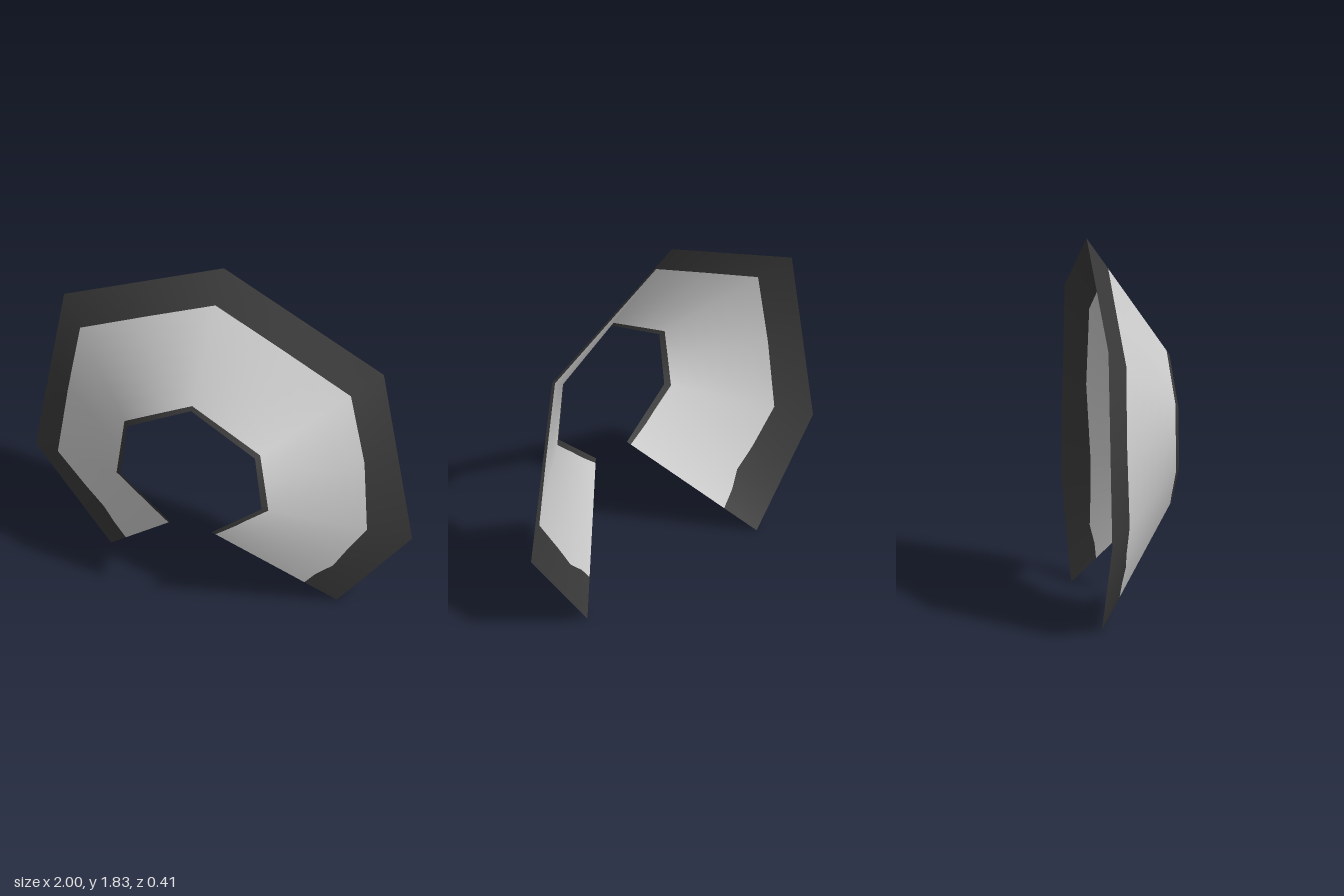
import * as THREE from 'three';

// Corner points of the flared collar, from the right-hand end over the top to the left-hand end
const outer = [[-0.6, 0], [-1, 0.485], [-0.85, 1.43], [0, 1.83], [0.85, 1.43], [1, 0.485], [0.6, 0]]
  .map(([x, y]) => new THREE.Vector3(x, y, -0.204));
const inner = [[-0.11, 0.54], [-0.375, 0.755], [-0.34, 1.05], [0, 1.24], [0.34, 1.05], [0.375, 0.755], [0.11, 0.54]]
  .map(([x, y]) => new THREE.Vector3(x, y, 0.204));

// Colour borders: [position along the corners, fraction from outer to inner edge]
const borders = [
  [0, 0.25, 0.97], [0.18, 0.26, 0.965], [0.36, 0.29, 0.96], [0.6, 0.27, 0.96], [1, 0.26, 0.955],
  [1.5, 0.245, 0.957], [2, 0.255, 0.96], [2.5, 0.255, 0.962], [3, 0.26, 0.965],
  [3.5, 0.255, 0.962], [4, 0.255, 0.96], [4.5, 0.24, 0.957], [5, 0.3, 0.955],
  [5.4, 0.26, 0.96], [5.64, 0.23, 0.96], [5.85, 0.26, 0.965], [6, 0.26, 0.97],
];

// Smooth normals at the corners, shared by all the colour bands
function cornerNormals() {
  const index = [];
  for (let i = 0; i < 6; i++) index.push(i, i + 7, i + 8, i, i + 8, i + 1);
  const g = new THREE.BufferGeometry().setFromPoints([...outer, ...inner]);
  g.setIndex(index);
  g.computeVertexNormals();
  const n = g.attributes.normal;
  return Array.from({ length: 14 }, (_, i) => new THREE.Vector3().fromBufferAttribute(n, i));
}

// Blend between the corners along the ring (s) and across it (t)
function blend(outs, ins, s, t) {
  const i = Math.min(5, Math.floor(s));
  const a = outs[i].clone().lerp(outs[i + 1], s - i);
  const b = ins[i].clone().lerp(ins[i + 1], s - i);
  return a.lerp(b, t);
}

// One colour band lying between two fractions of the collar's width
function band(name, material, normals, from, to) {
  const steps = 6, pos = [], nor = [], index = [];
  borders.forEach((row, r) => {
    for (let k = 0; k <= steps; k++) {
      const t = THREE.MathUtils.lerp(from(row), to(row), k / steps);
      pos.push(...blend(outer, inner, row[0], t).toArray());
      nor.push(...blend(normals.slice(0, 7), normals.slice(7), row[0], t).normalize().toArray());
      if (r < borders.length - 1 && k < steps) {
        const a = r * (steps + 1) + k, d = a + steps + 1;
        index.push(a, a + 1, d + 1, a, d + 1, d);
      }
    }
  });
  const g = new THREE.BufferGeometry();
  g.setAttribute('position', new THREE.Float32BufferAttribute(pos, 3));
  g.setAttribute('normal', new THREE.Float32BufferAttribute(nor, 3));
  g.setIndex(index);
  const mesh = new THREE.Mesh(g, material);
  mesh.name = name;
  return mesh;
}

export function createModel() {
  const light = new THREE.MeshStandardMaterial({ color: 0xd2d2d2, side: THREE.DoubleSide });
  light.name = 'light grey';
  const dark = new THREE.MeshStandardMaterial({ color: 0x3b3b3b, side: THREE.DoubleSide });
  dark.name = 'charcoal';

  const normals = cornerNormals();
  const group = new THREE.Group();
  group.name = 'flaredCollar';
  group.add(
    band('outerTrim', dark, normals, () => 0, (r) => r[1]),
    band('panel', light, normals, (r) => r[1], (r) => r[2]),
    band('innerTrim', dark, normals, (r) => r[2], () => 1),
  );
  return group;
}
